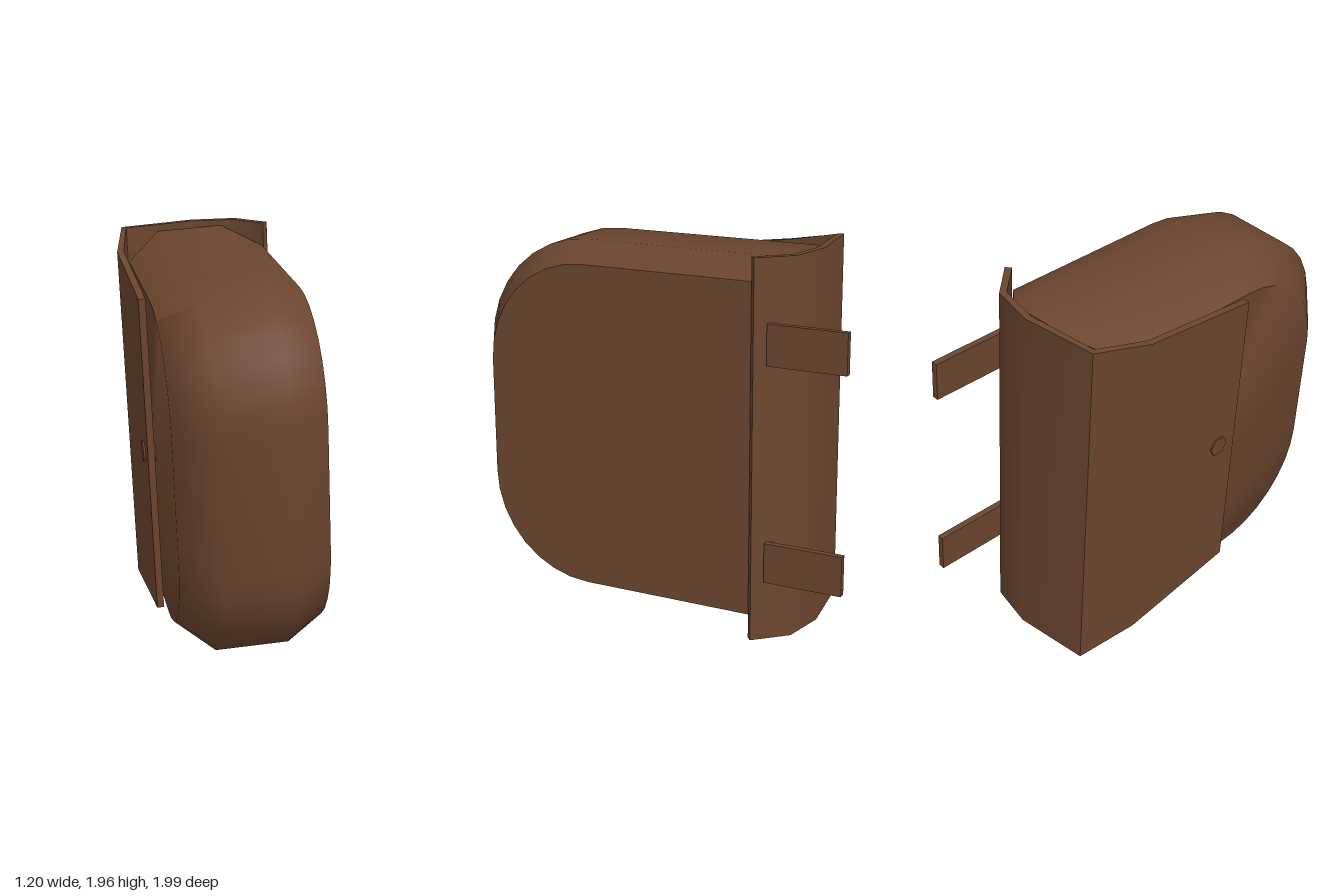
import * as THREE from 'three';
import { toCreasedNormals } from 'three/addons/utils/BufferGeometryUtils.js';

// Closed solid skinned over equal-length loops of [x, y, z], with a fan cap on both ends
function skin(rows, crease) {
  const n = rows[0].length, last = (rows.length - 1) * n, index = [];
  for (let i = 0; i < rows.length - 1; i++) {
    for (let j = 0; j < n; j++) {
      const k = (j + 1) % n;
      const a = i * n + j, b = i * n + k, c = a + n, d = b + n;
      index.push(a, b, c, c, b, d);
    }
  }
  for (let j = 1; j < n - 1; j++) {
    index.push(0, j + 1, j, last, last + j, last + j + 1);
  }
  const geo = new THREE.BufferGeometry();
  geo.setAttribute('position', new THREE.Float32BufferAttribute(rows.flat(2), 3));
  geo.setIndex(index);
  return toCreasedNormals(geo, crease);
}

// D-shaped outline: square at the back, rounded at the front
function outline(x, back, front, half, radius) {
  const pts = [[x, -half, back]], steps = 8;
  for (const side of [-1, 1]) {
    for (let s = 0; s <= steps; s++) {
      const t = (s / steps) * Math.PI / 2;
      const u = side < 0 ? Math.sin(t) : Math.cos(t);
      const v = side < 0 ? Math.cos(t) : Math.sin(t);
      pts.push([x, side * (half - radius + radius * v), front - radius + radius * u]);
    }
  }
  pts.push([x, half, back]);
  return pts;
}

export function createModel() {
  const leather = new THREE.MeshStandardMaterial({ color: 0x6b452e });
  leather.name = 'brown leather';

  const pouch = new THREE.Group();
  pouch.name = 'pouch';
  const add = (name, geo, x = 0, y = 0, z = 0) => {
    const mesh = new THREE.Mesh(geo, leather);
    mesh.name = name;
    mesh.position.set(x, y, z);
    pouch.add(mesh);
    return mesh;
  };

  // Padded body: bevelled on both broad faces
  add('body', skin([
    outline(0.30, -0.59, 0.875, 0.845, 0.54),
    outline(0.11, -0.75, 0.992, 0.935, 0.59),
    outline(-0.237, -0.73, 0.992, 0.935, 0.59),
    outline(-0.42, -0.56, 0.8, 0.82, 0.52),
  ], 0.87));

  // Flap wrapped round the back: [x, z, half height] along its outer face
  const path = [
    [-0.47, 0.224, 0.822], [-0.491, -0.449, 0.905], [-0.429, -0.761, 0.965],
    [-0.042, -0.813, 0.965], [0.19, -0.769, 0.965], [0.335, -0.612, 0.965],
  ];
  const thickness = 0.035;
  const rows = path.map(([x, z, h], i) => {
    const p = path[Math.max(i - 1, 0)], q = path[Math.min(i + 1, path.length - 1)];
    const dx = q[0] - p[0], dz = q[1] - p[1], len = Math.hypot(dx, dz);
    const xi = x - dz / len * thickness, zi = z + dx / len * thickness;
    return [[x, -h, z], [x, h, z], [xi, h, zi], [xi, -h, zi]];
  });
  add('flap', skin(rows, 0.7));

  // Two straps reaching backwards
  for (const y of [0.55, -0.55]) {
    add('strap', new THREE.BoxGeometry(0.033, 0.205, 0.405), 0.293, y, -0.872);
  }

  // Six-sided stud through the flap
  const stud = add('stud', new THREE.CylinderGeometry(0.055, 0.055, 0.07, 6), -0.448, 0, 0.1);
  stud.rotation.z = Math.PI / 2;

  // Slight lean and turn of the whole pouch
  const up = new THREE.Vector3(-0.052, 1, 0.018).normalize();
  const right = new THREE.Vector3(0.97, 0.046, 0.233).addScaledVector(up, 0).normalize();
  const front = new THREE.Vector3().crossVectors(right, up).normalize();
  right.crossVectors(up, front);
  pouch.quaternion.setFromRotationMatrix(new THREE.Matrix4().makeBasis(right, up, front));
  pouch.position.copy(up).multiplyScalar(-0.037);
  pouch.position.y += 1;

  const model = new THREE.Group();
  model.name = 'beltPouch';
  model.add(pouch);
  return model;
}
